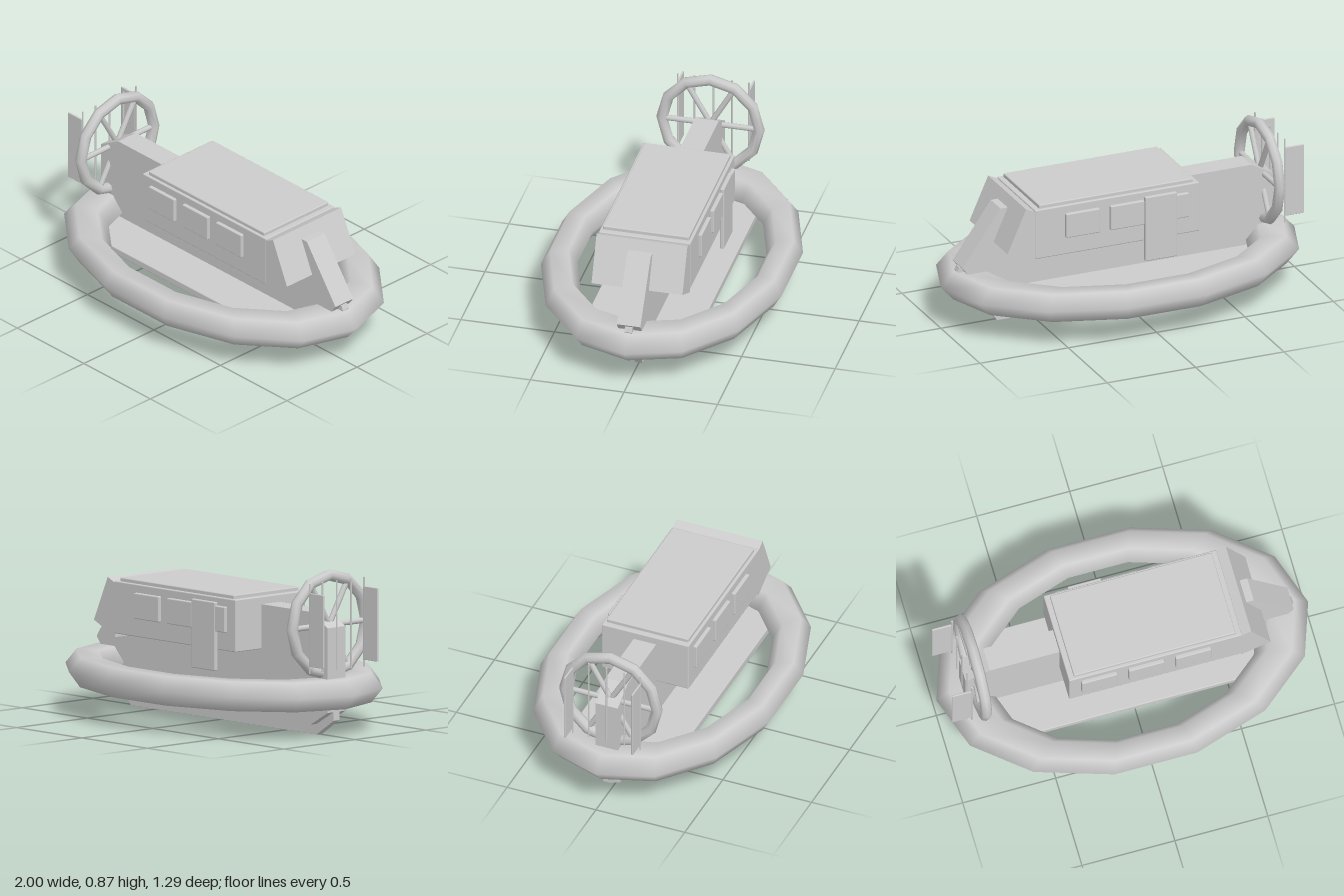
import * as THREE from 'three';
import { RoundedBoxGeometry } from 'three/addons/geometries/RoundedBoxGeometry.js';

export function createModel() {
  const model = new THREE.Group();
  const material = new THREE.MeshStandardMaterial({ color: 0xcccccc });

  function add(name, geometry, x = 0, y = 0, z = 0) {
    const mesh = new THREE.Mesh(geometry, material);
    mesh.name = name;
    mesh.position.set(x, y, z);
    model.add(mesh);
    return mesh;
  }

  // box given by its extents on each axis
  function box(name, x0, x1, y0, y1, z0, z1, radius = 0.006) {
    const geometry = new RoundedBoxGeometry(x1 - x0, y1 - y0, z1 - z0, 2, radius);
    return add(name, geometry, (x0 + x1) / 2, (y0 + y1) / 2, (z0 + z1) / 2);
  }

  // side profile extruded symmetrically across z
  function slab(name, points, halfWidth) {
    const shape = new THREE.Shape(points.map(([x, y]) => new THREE.Vector2(x, y)));
    const geometry = new THREE.ExtrudeGeometry(shape, { depth: halfWidth * 2, bevelEnabled: false });
    return add(name, geometry.translate(0, 0, -halfWidth));
  }

  // inflated oval skirt
  const skirt = new THREE.TorusGeometry(0.86, 0.14, 6, 14).rotateX(Math.PI / 2);
  add('skirt', skirt.scale(1, 0.635, 0.66), 0, 0.228, 0);

  // deck, central hull and keel
  box('deck', -0.76, 0.76, 0.16, 0.2, -0.3, 0.3);
  slab('hull', [[-0.86, 0.13], [-0.73, 0.055], [0.69, 0.055], [0.905, 0.345],
    [0.69, 0.645], [-0.73, 0.645], [-0.86, 0.573]], 0.063);
  slab('keel', [[-0.86, 0.085], [-0.73, 0], [0.69, 0], [0.915, 0.31], [0.905, 0.335], [-0.86, 0.2]], 0.02);

  // cabin with roof panel and sloping windscreen
  box('cabin', -0.355, 0.575, 0.41, 0.685, -0.245, 0.245);
  box('roof', -0.325, 0.545, 0.675, 0.705, -0.23, 0.23);
  slab('windscreen', [[0.57, 0.39], [0.73, 0.465], [0.625, 0.7], [0.57, 0.675]], 0.243);

  // side windows
  for (const side of [-1, 1]) {
    for (const x of [-0.195, 0.058, 0.31]) {
      box('window', x - 0.096, x + 0.096, 0.507, 0.642, side * 0.25 - 0.014, side * 0.25 + 0.014);
    }
  }
  // door on the right-hand side
  box('door', -0.22, -0.04, 0.3, 0.66, -0.268, -0.245);

  // fan guard ring and crossing blades
  const ring = new THREE.TorusGeometry(0.26, 0.03, 8, 12).rotateZ(Math.PI / 2).rotateY(Math.PI / 2);
  add('fanRing', ring, -0.803, 0.58, 0);
  for (const angle of [-Math.PI / 3, 0, Math.PI / 3]) {
    const blade = add('fanBlade', new THREE.CylinderGeometry(0.015, 0.015, 0.5, 8), -0.803, 0.58, 0);
    blade.rotation.x = Math.PI / 2 + angle;
  }

  // upright guard posts and the two rudders
  for (const z of [-0.19, -0.1, 0, 0.1, 0.19]) {
    add('guardPost', new THREE.CylinderGeometry(0.005, 0.005, 0.47, 8), -0.862, 0.583, z);
  }
  for (const z of [-0.19, 0.19]) {
    box('rudder', -0.97, -0.865, 0.385, 0.77, z - 0.005, z + 0.005, 0.003);
  }
  return model;
}
